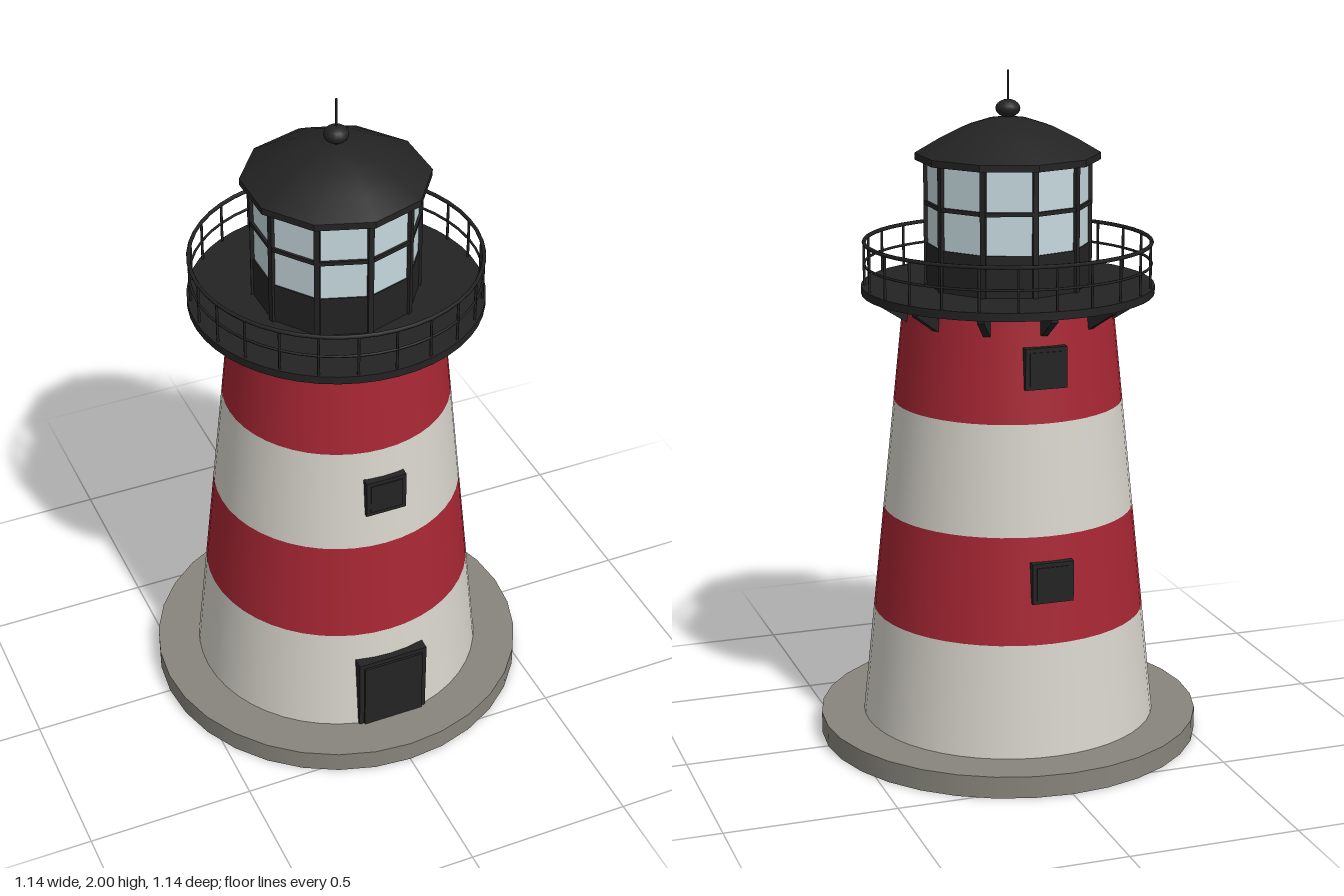
import * as THREE from 'three';

const mat = (name, color, extra = {}) => {
  const m = new THREE.MeshStandardMaterial({ color, ...extra });
  m.name = name;
  return m;
};

export function createModel() {
  const white = mat('warm white paint', 0xd6d3ca);
  const red = mat('red paint', 0xa62633);
  const stone = mat('grey stone', 0x87857c);
  const black = mat('black iron', 0x232323);
  const glass = mat('pale glass', 0xc6d8de, { flatShading: true });
  const blackFlat = mat('black iron panels', 0x232323, { flatShading: true });

  const model = new THREE.Group();
  model.name = 'lighthouse';

  const add = (name, geometry, material, parent = model) => {
    const mesh = new THREE.Mesh(geometry, material);
    mesh.name = name;
    parent.add(mesh);
    return mesh;
  };
  const group = (name) => {
    const g = new THREE.Group();
    g.name = name;
    model.add(g);
    return g;
  };
  // Upright cylinder between two heights
  const drum = (rTop, rBottom, y0, y1, sides, open = false) =>
    new THREE.CylinderGeometry(rTop, rBottom, y1 - y0, sides, 1, open).translate(0, (y0 + y1) / 2, 0);
  const box = (w, h, d, x, y, z) => new THREE.BoxGeometry(w, h, d).translate(x, y, z);

  // Stone base
  add('base', drum(0.57, 0.57, 0, 0.065, 32), stone);

  // Tapered tower in four painted bands
  const towerRadius = (y) => 0.44 - (y - 0.065) * 0.104;
  const levels = [0.065, 0.398, 0.712, 1.036, 1.36];
  for (let i = 0; i < 4; i++) {
    const [y0, y1] = [levels[i], levels[i + 1]];
    add('towerBand', drum(towerRadius(y1), towerRadius(y0), y0, y1, 48, true), i % 2 ? red : white);
  }

  // Door with a frame
  const door = group('door');
  add('doorFrame', box(0.22, 0.24, 0.05, 0, 0.187, 0.41), black, door);
  add('doorPanel', box(0.19, 0.225, 0.008, 0, 0.18, 0.438), black, door);

  // Windows: one at the front, two at the back
  for (const [y, side] of [[0.885, 1], [0.58, -1], [1.195, -1]]) {
    const z = side * towerRadius(y);
    const window = group('window');
    add('windowFrame', box(0.125, 0.12, 0.03, 0, y, z - side * 0.003), black, window);
    add('windowPane', box(0.1, 0.095, 0.006, 0, y, z + side * 0.012), black, window);
  }

  // Gallery deck on triangular brackets
  add('galleryDeck', drum(0.43, 0.43, 1.354, 1.378, 48), black);
  const bracketShape = new THREE.Shape();
  bracketShape.moveTo(0.29, 1.285);
  bracketShape.lineTo(0.315, 1.285);
  bracketShape.lineTo(0.4, 1.34);
  bracketShape.lineTo(0.4, 1.356);
  bracketShape.lineTo(0.29, 1.356);
  const bracketGeometry = new THREE.ExtrudeGeometry(bracketShape, { depth: 0.02, bevelEnabled: false });
  bracketGeometry.translate(0, 0, -0.01);
  const brackets = group('brackets');
  for (let i = 0; i < 12; i++) {
    add('bracket', bracketGeometry, black, brackets).rotation.y = (i * Math.PI) / 6;
  }

  // Gallery railing
  const railing = group('railing');
  const postGeometry = drum(0.004, 0.004, 1.375, 1.505, 6);
  for (let i = 0; i < 24; i++) {
    const a = (i * Math.PI) / 12;
    add('railPost', postGeometry, black, railing).position.set(0.42 * Math.sin(a), 0, 0.42 * Math.cos(a));
  }
  for (const [y, r] of [[1.44, 0.004], [1.504, 0.006]]) {
    add('rail', new THREE.TorusGeometry(0.42, r, 6, 48).rotateX(Math.PI / 2).translate(0, y, 0), black, railing);
  }

  // Ten-sided lantern room
  const sides = 10;
  const lantern = group('lantern');
  add('lanternPlinth', drum(0.24, 0.24, 1.37, 1.5, sides), blackFlat, lantern);
  add('lanternGlass', drum(0.236, 0.236, 1.5, 1.745, sides, true), glass, lantern);
  const apothem = 0.238 * Math.cos(Math.PI / sides);
  const barGeometry = box(2 * 0.238 * Math.sin(Math.PI / sides), 0.012, 0.012, 0, 1.618, apothem);
  const mullionGeometry = box(0.016, 0.37, 0.016, 0, 1.56, 0.237);
  for (let i = 0; i < sides; i++) {
    const a = (i * 2 * Math.PI) / sides;
    add('mullion', mullionGeometry, black, lantern).rotation.y = a;
    add('glazingBar', barGeometry, black, lantern).rotation.y = a + Math.PI / sides;
  }

  // Roof with eave, ball and spire
  const roof = group('roof');
  add('eave', drum(0.27, 0.27, 1.742, 1.762, sides), blackFlat, roof);
  const profile = [[0.27, 1.762], [0.2, 1.803], [0.13, 1.838], [0.06, 1.86], [0, 1.867]];
  add('dome', new THREE.LatheGeometry(profile.map(([x, y]) => new THREE.Vector2(x, y)), sides), black, roof);
  add('finialBall', new THREE.SphereGeometry(0.036, 16, 10).scale(1, 0.72, 1).translate(0, 1.89, 0), black, roof);
  add('spire', drum(0.003, 0.003, 1.86, 2, 6), black, roof);

  return model;
}
